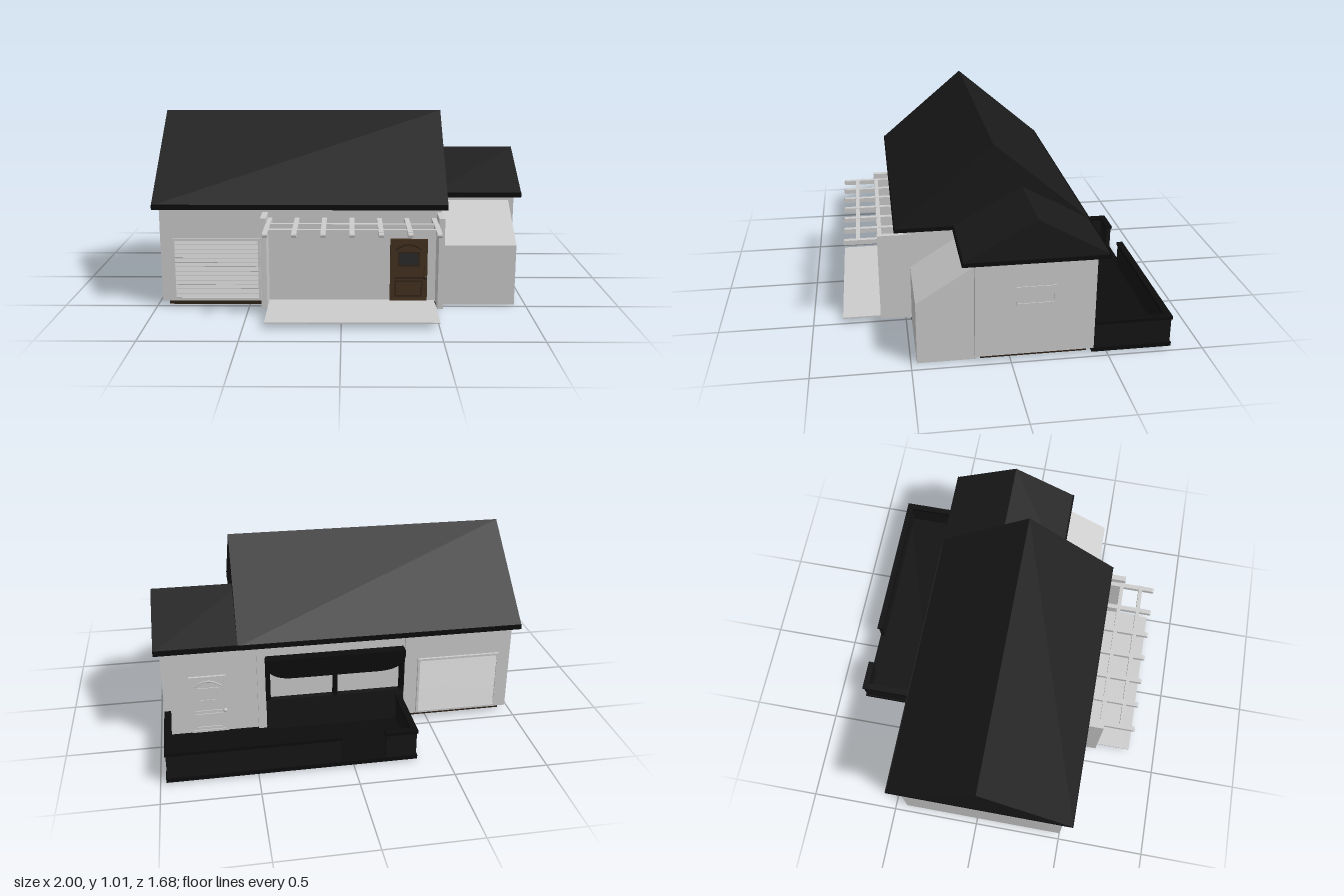
import * as THREE from 'three';

const mat = (color, side = THREE.FrontSide) => new THREE.MeshStandardMaterial({ color, side });
const GREY = mat(0xcccccc), ROOF = mat(0x191919), TRIM = mat(0x0c0c0c), DECK = mat(0x151515);
const BASE = mat(0x2e2218), WOOD = mat(0x44311f), DARKWOOD = mat(0x33251a), GLASS = mat(0x2b2b2b);

export function createModel() {
  const house = new THREE.Group();
  house.name = 'house';

  const add = (name, geo, material = GREY, parent = house) => {
    const mesh = new THREE.Mesh(geo, material);
    mesh.name = name;
    parent.add(mesh);
    return mesh;
  };
  // Box given by its minimum and maximum on each axis
  const box = (name, x0, x1, y0, y1, z0, z1, material, parent) => {
    const mesh = add(name, new THREE.BoxGeometry(x1 - x0, y1 - y0, z1 - z0), material, parent);
    mesh.position.set((x0 + x1) / 2, (y0 + y1) / 2, (z0 + z1) / 2);
    return mesh;
  };
  // Solid with a (z, y) outline, running from x0 to x1
  const prism = (name, points, x0, x1, material) => {
    const shape = new THREE.Shape(points.map(([z, y]) => new THREE.Vector2(-z, y)));
    const geo = new THREE.ExtrudeGeometry(shape, { depth: x1 - x0, bevelEnabled: false });
    geo.rotateY(Math.PI / 2).translate(x0, 0, 0);
    return add(name, geo, material);
  };
  // Rectangular frame in the xy plane, centred on its origin
  const frame = (name, w, h, t, depth, material, parent) => {
    const shape = new THREE.Shape([[-1, -1], [1, -1], [1, 1], [-1, 1]]
      .map(([a, b]) => new THREE.Vector2(a * w / 2, b * h / 2)));
    shape.holes.push(new THREE.Path([[-1, -1], [-1, 1], [1, 1], [1, -1]]
      .map(([a, b]) => new THREE.Vector2(a * (w / 2 - t), b * (h / 2 - t)))));
    return add(name, new THREE.ExtrudeGeometry(shape, { depth, bevelEnabled: false }), material, parent);
  };

  // Foundation and walls
  box('mainFoundation', -0.94, 0.53, 0, 0.035, -0.4, 0.47, BASE);
  box('wingFoundation', 0.5, 0.94, 0.002, 0.035, -0.4, 0.15, BASE);
  box('mainWalls', -0.97, 0.53, 0.03, 0.56, -0.43, 0.5);
  box('wingWalls', 0.5, 0.97, 0.03, 0.56, -0.43, 0.18);
  prism('leanTo', [[0.17, 0], [0.47, 0], [0.47, 0.335], [0.17, 0.525]], 0.532, 0.94);

  // Gable roofs with a fascia around the eaves
  const roof = (name, x0, x1, z0, z1, top) => {
    prism(name, [[z0, 0.57], [z1, 0.57], [(z0 + z1) / 2, top]], x0, x1, ROOF);
    box(name + 'Fascia', x0, x1, 0.548, 0.575, z0, z1, TRIM);
  };
  roof('mainRoof', -1, 0.56, -0.49, 0.55, 1.01);
  roof('wingRoof', 0.5, 1, -0.488, 0.245, 0.775);

  // Louvred shutters, front and back
  const shutter = (name, z, facing) => {
    const g = new THREE.Group();
    g.name = name;
    frame('shutterFrame', 0.47, 0.345, 0.012, 0.014, GREY, g);
    const slats = 13, step = 0.322 / slats;
    for (let i = 0; i < slats; i++) {
      const slat = add('slat', new THREE.BoxGeometry(0.446, step * 0.85, 0.006), GREY, g);
      slat.position.set(0, -0.161 + (i + 0.5) * step, 0.006);
      slat.rotation.x = -0.4;
    }
    g.position.set(-0.67, 0.21, z);
    g.rotation.y = facing;
    house.add(g);
  };
  shutter('frontShutter', 0.5, 0);
  shutter('backShutter', -0.43, Math.PI);

  // Panelled doors with an arched upper moulding
  const door = (name, x, z, facing, leaf, detail, pane) => {
    const g = new THREE.Group();
    g.name = name;
    box('doorLeaf', -0.1, 0.1, 0, 0.345, 0, 0.008, leaf, g);
    frame('doorFrame', 0.2, 0.345, 0.014, 0.013, leaf, g).position.y = 0.1725;
    frame('lowerPanel', 0.15, 0.09, 0.008, 0.013, detail, g).position.y = 0.07;
    frame('windowFrame', 0.115, 0.08, 0.008, 0.013, detail, g).position.y = 0.235;
    box('doorPane', -0.05, 0.05, 0.2, 0.27, 0.006, 0.01, pane, g);
    box('doorRail', -0.075, 0.075, 0.125, 0.135, 0.006, 0.013, detail, g);
    const arch = new THREE.QuadraticBezierCurve3(new THREE.Vector3(-0.07, 0.285, 0.008),
      new THREE.Vector3(0, 0.345, 0.008), new THREE.Vector3(0.07, 0.285, 0.008));
    add('archMoulding', new THREE.TubeGeometry(arch, 10, 0.005, 5), detail, g);
    add('doorKnob', new THREE.SphereGeometry(0.011, 10, 8), detail, g).position.set(0.088, 0.135, 0.02);
    g.position.set(x, 0.035, z);
    g.rotation.y = facing;
    house.add(g);
  };
  door('frontDoor', 0.36, 0.5, 0, WOOD, DARKWOOD, GLASS);
  door('backDoor', 0.73, -0.43, Math.PI, GREY, GREY, GREY);

  // Side window of the wing
  const sideWindow = frame('sideWindow', 0.2, 0.1, 0.008, 0.006, GREY);
  sideWindow.rotation.y = Math.PI / 2;
  sideWindow.position.set(0.968, 0.36, -0.125);

  // Front porch: slab, side fins and pergola
  box('porchSlab', -0.39, 0.5, 0.03, 0.037, 0.47, 0.84);
  box('porchFin', -0.42, -0.39, 0.035, 0.525, 0.49, 0.637);
  box('porchFin', 0.505, 0.535, 0.035, 0.525, 0.46, 0.637);
  for (let i = 0; i < 7; i++) {
    const x = -0.38 + i * 0.145;
    box('pergolaRafter', x - 0.0125, x + 0.0125, 0.47, 0.495, 0.5, 0.8);
    const end = add('rafterEnd', new THREE.CylinderGeometry(0.0125, 0.0125, 0.025, 12));
    end.rotation.z = Math.PI / 2;
    end.position.set(x, 0.4825, 0.802);
  }
  for (const z of [0.622, 0.735]) {
    box('pergolaBeam', -0.39, 0.505, 0.471, 0.494, z - 0.011, z + 0.011);
  }

  // Back deck: floor and capped parapet with an opening
  box('deckFloor', -0.34, 0.97, 0.008, 0.03, -0.84, -0.42, TRIM);
  const parapet = (x0, x1, z0, z1) => {
    box('deckParapet', x0, x1, 0.03, 0.17, z0, z1, DECK);
    box('parapetCap', x0 - 0.006, x1 + 0.006, 0.163, 0.18, z0 - 0.006, z1 + 0.006, TRIM);
  };
  parapet(0.07, 0.964, -0.834, -0.81);
  parapet(-0.334, -0.17, -0.834, -0.81);
  parapet(0.94, 0.964, -0.834, -0.436);
  parapet(-0.334, -0.31, -0.834, -0.436);

  // Wide back window between two pilasters
  for (const x of [-0.38, 0.44]) {
    box('pilaster', x - 0.022, x + 0.022, 0.03, 0.55, -0.446, -0.42);
  }
  box('windowApron', -0.35, 0.415, 0.03, 0.215, -0.465, -0.425, DECK);
  for (const x of [-0.34, 0.035, 0.405]) {
    box('windowPost', x - 0.012, x + 0.012, 0.2, 0.46, -0.465, -0.425, TRIM);
  }

  // Awning with rounded lower corners
  const awning = new THREE.Shape();
  awning.moveTo(-0.35, 0.47);
  awning.lineTo(-0.35, 0.43);
  awning.quadraticCurveTo(-0.33, 0.355, -0.2, 0.355);
  awning.lineTo(0.265, 0.355);
  awning.quadraticCurveTo(0.395, 0.355, 0.415, 0.43);
  awning.lineTo(0.415, 0.47);
  const awningGeo = new THREE.ExtrudeGeometry(awning, { depth: 0.045, bevelEnabled: false, curveSegments: 8 });
  add('awning', awningGeo, TRIM).position.z = -0.488;
  box('awningTop', -0.35, 0.415, 0.455, 0.47, -0.488, -0.425, TRIM);

  return house;
}
